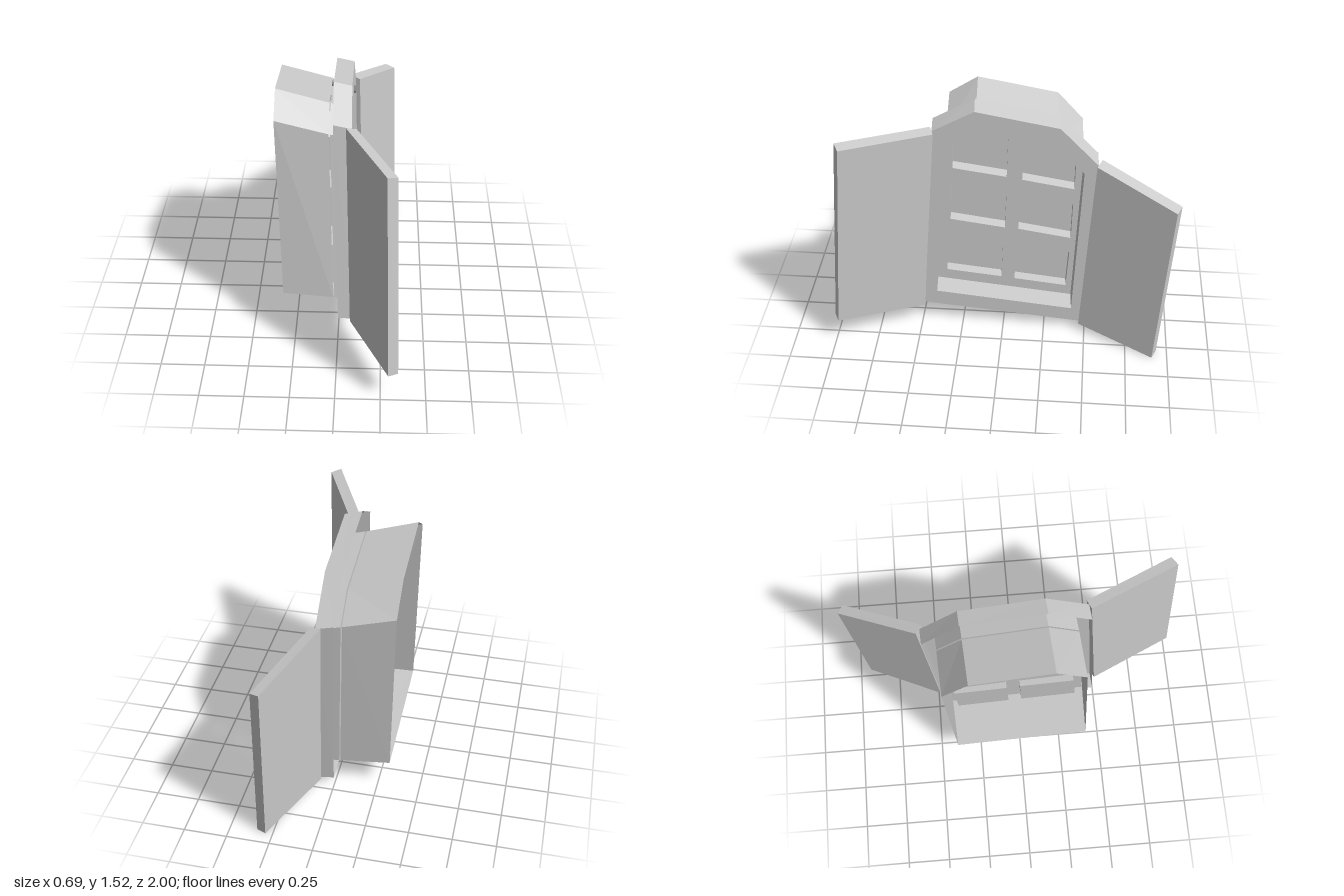
import * as THREE from 'three';

const material = new THREE.MeshStandardMaterial({ color: 0xcccccc, flatShading: true, side: THREE.DoubleSide });

// Outlines are [z, y] points of the window face; w is the distance out of the wall.
const FRONT = 0.1, SASH = -0.02, GLASS = -0.077;
function place(z, y, w) {
  const d = FRONT - w;
  return [w - 0.023 * (y - 0.14), y + (0.08 + 0.12 * y) * d, z + 0.06 * d];
}
const loop = (outline, w) => outline.map(([z, y]) => place(z, y, w));

// Flat sheet at depth w, made as (-z, y) and then leaned with the crooked window
function sheet(outline, w, holes = []) {
  const toVectors = (pts) => pts.map(([z, y]) => new THREE.Vector2(-z, y));
  const shape = new THREE.Shape(toVectors(outline));
  shape.holes = holes.map((h) => new THREE.Path(toVectors(h)));
  const g = new THREE.ShapeGeometry(shape);
  const p = g.attributes.position;
  for (let i = 0; i < p.count; i++) {
    p.setXYZ(i, ...place(-p.getX(i), p.getY(i), w));
  }
  g.computeVertexNormals();
  return g;
}

// Open band of quads between two loops of 3D points
function band(a, b) {
  const pos = [];
  for (let i = 0; i < a.length; i++) {
    const j = (i + 1) % a.length;
    pos.push(...a[i], ...b[i], ...b[j], ...a[i], ...b[j], ...a[j]);
  }
  const g = new THREE.BufferGeometry();
  g.setAttribute('position', new THREE.Float32BufferAttribute(pos, 3));
  g.computeVertexNormals();
  return g;
}

// Box whose corners are moved: back and front each list
// hinge bottom, outer bottom, outer top, hinge top
function board(back, front) {
  const g = new THREE.BoxGeometry(1, 1, 1);
  const p = g.attributes.position;
  for (let i = 0; i < p.count; i++) {
    const outer = p.getX(i) > 0;
    const corner = p.getY(i) > 0 ? (outer ? 2 : 3) : (outer ? 1 : 0);
    p.setXYZ(i, ...(p.getZ(i) > 0 ? front : back)[corner]);
  }
  g.computeVertexNormals();
  return g;
}

export function createModel() {
  const model = new THREE.Group();
  model.name = 'shutteredWindow';
  const addGroup = (name) => {
    const group = new THREE.Group();
    group.name = name;
    model.add(group);
    return group;
  };
  const add = (name, geometry, parent = model) => {
    const mesh = new THREE.Mesh(geometry, material);
    mesh.name = name;
    parent.add(mesh);
  };

  const outer = [[0.48, 0.14], [0.4, 1.36], [0.16, 1.493], [-0.315, 1.408], [-0.535, 1.18], [-0.465, 0.05]];
  const opening = [[0.405, 0.23], [0.33, 1.26], [0.16, 1.36], [-0.31, 1.275], [-0.457, 1.125], [-0.415, 0.145]];

  // Window frame with a cut-off arch, hollow at the back, and a deep reveal
  const frame = addGroup('frame');
  add('frameFace', sheet(outer, FRONT, [opening]), frame);
  add('frameEdge', band(loop(outer, FRONT), loop(outer, 0)), frame);
  add('frameReveal', band(loop(opening, FRONT), loop(opening, SASH)), frame);

  // Sash sheet pierced by six panes, whose outlines are given as seen head-on
  const d = FRONT - SASH;
  const panes = [
    [[0.305, 1.045], [0.3, 1.25], [0.16, 1.333], [-0.02, 1.3], [-0.01, 1.0]],
    [[-0.1, 0.985], [-0.11, 1.29], [-0.29, 1.255], [-0.407, 1.14], [-0.405, 0.935]],
    [[0.325, 0.685], [0.315, 0.935], [-0.01, 0.89], [0, 0.64]],
    [[-0.08, 0.635], [-0.09, 0.88], [-0.4, 0.83], [-0.395, 0.585]],
    [[0.355, 0.305], [0.335, 0.56], [0.01, 0.53], [0.02, 0.27]],
    [[-0.06, 0.26], [-0.07, 0.515], [-0.39, 0.48], [-0.375, 0.225]],
  ].map((pane) => pane.map(([z, y]) => [z - 0.06 * d, (y - 0.08 * d) / (1 + 0.12 * d)]));
  add('sash', sheet(opening, SASH, panes));

  // Recessed panes
  for (const outline of panes) {
    const pane = addGroup('pane');
    add('paneReveal', band(loop(outline, SASH), loop(outline, GLASS)), pane);
    add('paneGlass', sheet(outline, GLASS), pane);
  }

  // Wall tunnel behind the sash, open at the back
  const tunnelBack = [
    [-0.32, 0.26, 0.403], [-0.348, 1.372, 0.348], [-0.35, 1.48, 0.18],
    [-0.35, 1.395, -0.285], [-0.345, 1.23, -0.434], [-0.32, 0.178, -0.393],
  ];
  add('tunnel', band(loop(opening, SASH - 0.008), tunnelBack));

  // Two open shutters
  add('shutterFront', board(
    [[0.07, 0.145, 0.505], [0.29, 0.17, 1.0], [0.26, 1.375, 0.91], [0.042, 1.37, 0.412]],
    [[0.127, 0.137, 0.48], [0.345, 0.165, 0.972], [0.315, 1.36, 0.88], [0.098, 1.355, 0.39]],
  ));
  add('shutterBack', board(
    [[0.073, 0.06, -0.488], [0.29, 0.006, -0.935], [0.26, 1.058, -1.0], [0.042, 1.2, -0.555]],
    [[0.13, 0.05, -0.463], [0.345, 0, -0.908], [0.315, 1.045, -0.973], [0.1, 1.185, -0.527]],
  ));

  return model;
}
